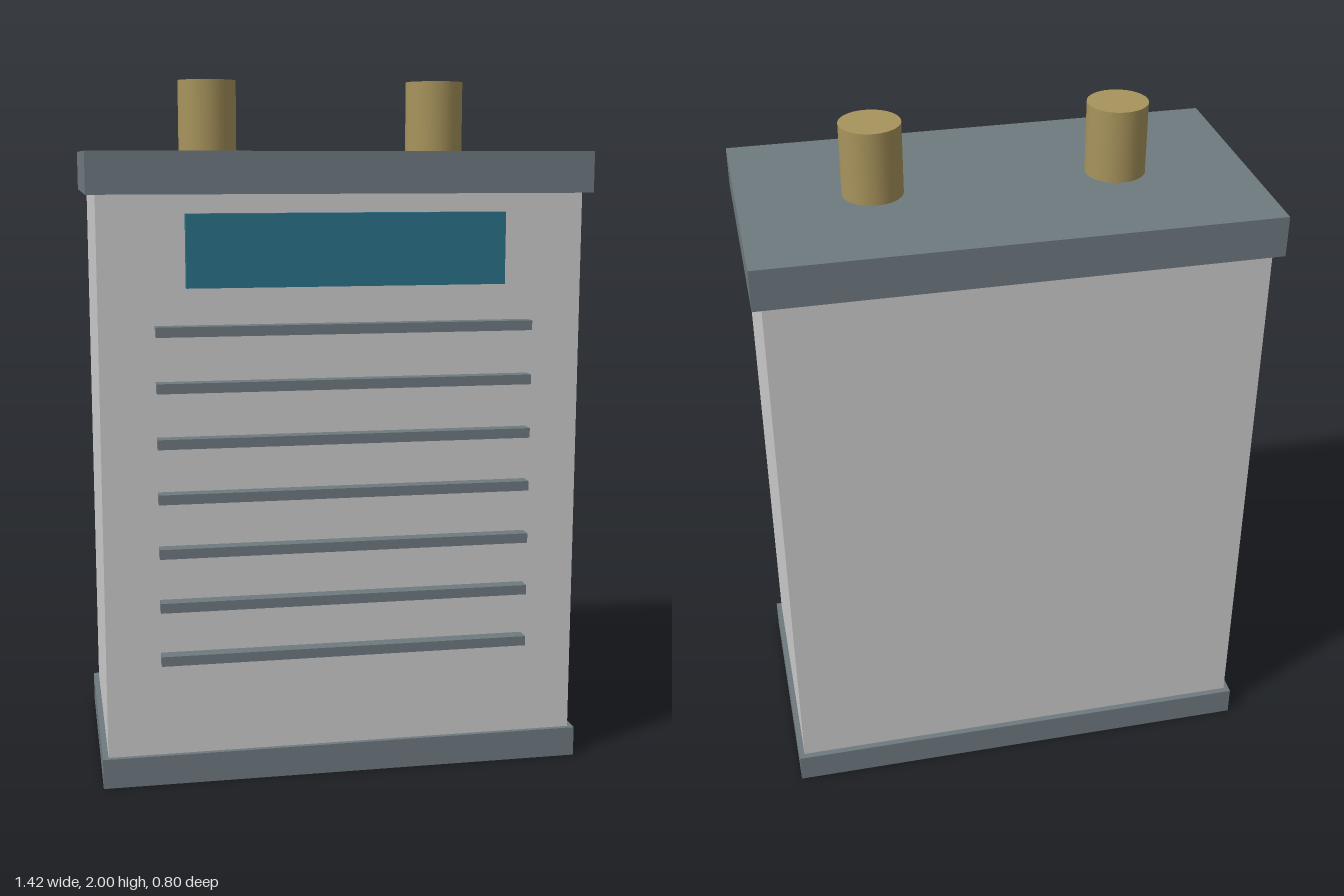
import * as THREE from 'three';

const grey = new THREE.MeshStandardMaterial({ color: 0xcccccc });
const slate = new THREE.MeshStandardMaterial({ color: 0x6f7a80 });
const teal = new THREE.MeshStandardMaterial({ color: 0x2a7189 });
const brass = new THREE.MeshStandardMaterial({ color: 0xa8945c });

// Box given by its width (centred on x) and its y and z ranges
function box(name, width, [y0, y1], [z0, z1], material) {
  const mesh = new THREE.Mesh(new THREE.BoxGeometry(width, y1 - y0, z1 - z0), material);
  mesh.position.set(0, (y0 + y1) / 2, (z0 + z1) / 2);
  mesh.name = name;
  return mesh;
}

export function createModel() {
  const model = new THREE.Group();
  model.name = 'cabinet';

  // Casing with a wider base and lid
  model.add(
    box('body', 1.372, [0.005, 1.7], [-0.372, 0.35], grey),
    box('base', 1.404, [0, 0.087], [-0.39, 0.364], slate),
    box('lid', 1.424, [1.68, 1.796], [-0.398, 0.374], slate),
    box('frontPanel', 0.894, [1.428, 1.629], [0.367, 0.4], teal)
  );

  // Row of front vent slats
  for (let i = 0; i < 7; i++) {
    const y = 0.378 + i * 0.1552;
    model.add(box('ventSlat', 1.064, [y - 0.014, y + 0.014], [0.353, 0.395], slate));
  }

  // Pair of pipe stubs on the lid
  for (const side of [-1, 1]) {
    const pipe = new THREE.Mesh(new THREE.CylinderGeometry(0.085, 0.085, 0.21, 32), brass);
    pipe.position.set(side * 0.342, 1.895, -0.012);
    pipe.name = side > 0 ? 'leftPipe' : 'rightPipe';
    model.add(pipe);
  }
  return model;
}
